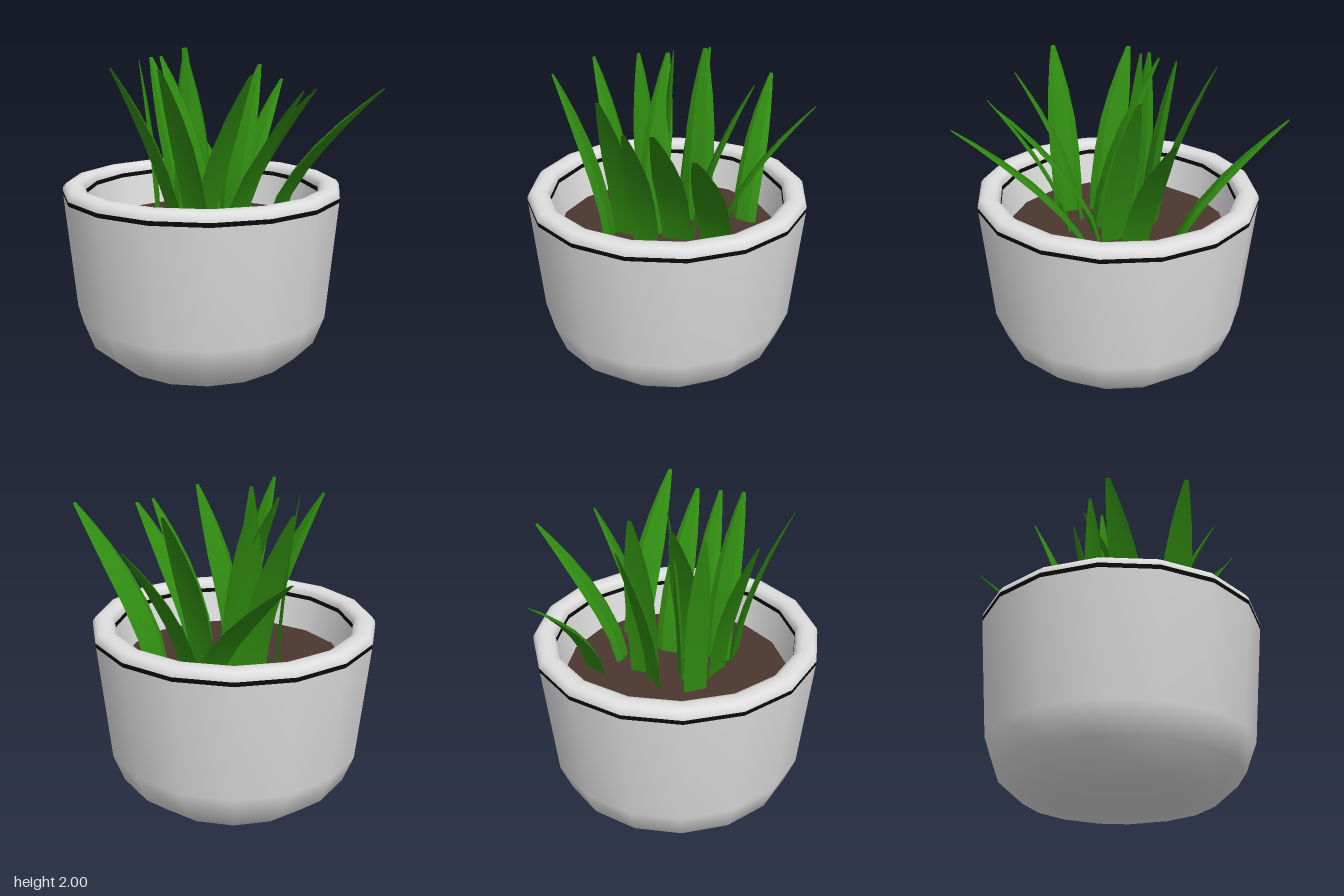
import * as THREE from 'three';
import { toCreasedNormals } from 'three/addons/utils/BufferGeometryUtils.js';

const mat = (name, color) => Object.assign(new THREE.MeshStandardMaterial({ color }), { name });

const SOIL_Y = 0.9;

// Leaf: base (x, z), tip (x, y, z), angle of the base edge in the ground plane (degrees), width
const LEAVES = [
  [0.45, -0.28, 0.48, 1.69, -0.95, 22, 0.18],
  [0.36, -0.07, 0.87, 1.76, -0.12, 90, 0.17],
  [0.19, 0.0, 0.52, 1.88, -0.04, 80, 0.19],
  [0.38, 0.21, 0.41, 1.79, 0.95, -3, 0.19],
  [0.105, 0.1, 0.12, 1.79, 0.68, 0, 0.19],
  [-0.05, 0.24, -0.03, 1.79, 0.7, 0, 0.16],
  [-0.21, 0.12, -0.24, 1.88, 0.5, 8, 0.18],
  [-0.31, 0.17, -0.63, 1.92, 0.18, 90, 0.19],
  [-0.26, -0.05, -0.55, 1.9, -0.3, 108, 0.19],
  [-0.2, -0.28, -0.27, 1.93, -0.35, 140, 0.15],
  [0.06, -0.29, 0.12, 1.92, -0.64, 38, 0.17],
  [0.155, -0.2, 0.15, 1.985, -0.375, 0, 0.19],
  [-0.08, 0.04, -0.08, 1.945, -0.35, 0, 0.19],
  [-0.06, -0.16, -0.005, 2.0, -0.21, 60, 0.15],
];

// Height fraction and width fraction of each section along a leaf
const SECTIONS = [[0, 0.96], [0.2, 1], [0.4, 1], [0.58, 0.93], [0.75, 0.7], [0.89, 0.42], [1, 0.14]];
// Cross-section of a leaf: across, bulge (upper side, then underside)
const SECTION = [[-0.5, 0], [-0.26, 0.13], [0.26, 0.13], [0.5, 0], [0.26, 0.03], [-0.26, 0.03]];

function leafGeometry([bx, bz, tx, ty, tz, degrees, width]) {
  const base = new THREE.Vector3(bx, SOIL_Y - 0.02, bz);
  const d = new THREE.Vector3(tx, ty, tz).sub(base);
  const a = THREE.MathUtils.degToRad(degrees);
  const side = new THREE.Vector3(Math.cos(a), 0, Math.sin(a));
  if (side.clone().cross(d).y < 0) side.negate();

  const pos = [], index = [], n = SECTION.length;
  SECTIONS.forEach(([h, w]) => {
    const bend = h ** 1.5;
    const centre = base.clone().add(new THREE.Vector3(d.x * bend, d.y * h, d.z * bend));
    const slope = 1.5 * Math.sqrt(h);
    const tangent = new THREE.Vector3(d.x * slope, d.y, d.z * slope);
    const up = side.clone().cross(tangent).normalize();
    for (const [u, v] of SECTION) {
      pos.push(...centre.clone().addScaledVector(side, u * w * width).addScaledVector(up, v * w * width).toArray());
    }
  });
  for (let i = 0; i < SECTIONS.length - 1; i++) {
    for (let j = 0; j < n; j++) {
      const p = i * n + j, q = i * n + (j + 1) % n;
      index.push(p, p + n, q, q, p + n, q + n);
    }
  }
  // Blunt tip
  const t = (SECTIONS.length - 1) * n;
  index.push(t, t + 5, t + 1, t + 1, t + 5, t + 4, t + 1, t + 4, t + 2, t + 2, t + 4, t + 3);

  const g = new THREE.BufferGeometry();
  g.setAttribute('position', new THREE.Float32BufferAttribute(pos, 3));
  g.setIndex(index);
  return toCreasedNormals(g, 0.45);
}

export function createModel() {
  const model = new THREE.Group();
  model.name = 'pottedPlant';
  const ceramic = mat('white ceramic', 0xdedede);
  const black = mat('black trim', 0x080a08);
  const earth = mat('brown soil', 0x4b362f);
  const green = mat('leaf green', 0x2f8a10);
  green.side = THREE.DoubleSide;

  // Pot, turned with sixteen sides
  const pot = new THREE.Group();
  pot.name = 'pot';
  pot.position.set(-0.005, 0, -0.073);
  model.add(pot);
  const turn = (name, material, profile) => {
    const g = new THREE.LatheGeometry(profile.map(([r, y]) => new THREE.Vector2(r, y)), 16);
    const mesh = new THREE.Mesh(g, material);
    mesh.name = name;
    pot.add(mesh);
  };
  turn('potBody', ceramic, [[0, 0], [0.38, 0.005], [0.58, 0.055], [0.735, 0.19], [0.803, 0.37], [0.87, 1.105]]);
  turn('outerStripe', black, [[0.87, 1.105], [0.872, 1.132]]);
  turn('rim', ceramic, [[0.872, 1.132], [0.868, 1.155], [0.85, 1.178], [0.82, 1.186], [0.78, 1.186],
    [0.752, 1.175], [0.738, 1.155], [0.734, 1.132]]);
  turn('innerStripe', black, [[0.734, 1.132], [0.732, 1.105]]);
  turn('innerWall', ceramic, [[0.732, 1.105], [0.69, SOIL_Y - 0.02]]);

  // Soil
  const soil = new THREE.Mesh(new THREE.CircleGeometry(0.694, 16).rotateX(-Math.PI / 2), earth);
  soil.name = 'soil';
  soil.position.y = SOIL_Y;
  pot.add(soil);

  // Leaves
  const leaves = new THREE.Group();
  leaves.name = 'leaves';
  model.add(leaves);
  LEAVES.forEach((spec, i) => {
    const leaf = new THREE.Mesh(leafGeometry(spec), green);
    leaf.name = `leaf${i + 1}`;
    leaves.add(leaf);
  });
  return model;
}
